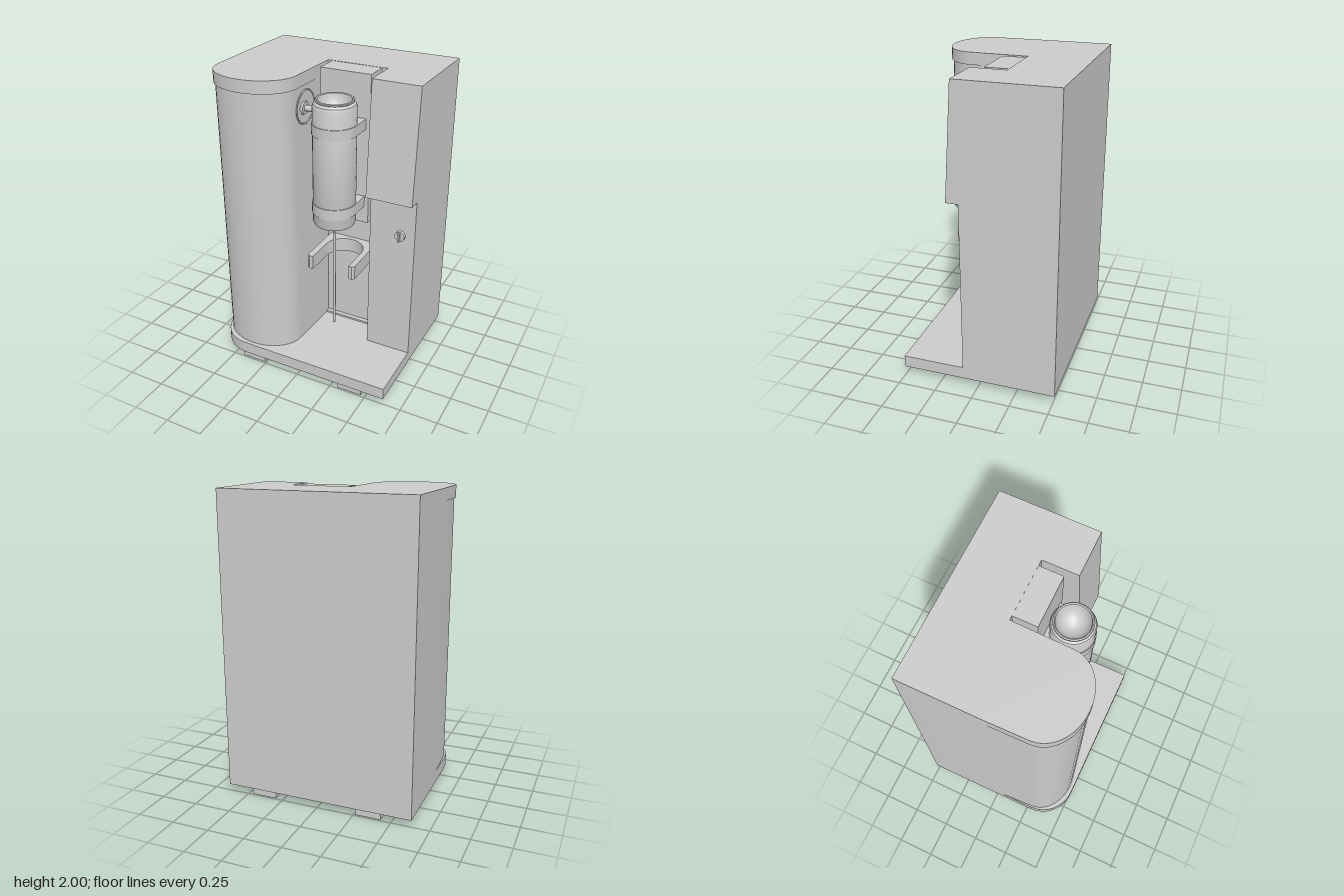
import * as THREE from 'three';
import { toCreasedNormals } from 'three/addons/utils/BufferGeometryUtils.js';

export function createModel() {
  const model = new THREE.Group();
  const mat = new THREE.MeshStandardMaterial({ color: 0xcccccc });
  const matDouble = new THREE.MeshStandardMaterial({ color: 0xcccccc, side: THREE.DoubleSide });

  const add = (name, geometry, x = 0, y = 0, z = 0, material = mat) => {
    const mesh = new THREE.Mesh(geometry, material);
    mesh.name = name;
    mesh.position.set(x, y, z);
    model.add(mesh);
    return mesh;
  };
  // Box given by its extents on each axis
  const box = (name, x0, x1, y0, y1, z0, z1) =>
    add(name, new THREE.BoxGeometry(x1 - x0, y1 - y0, z1 - z0), (x0 + x1) / 2, (y0 + y1) / 2, (z0 + z1) / 2);
  // Floor plan of [x, z] points raised from y0 to y1
  const plan = (name, points, y0, y1) => {
    const shape = new THREE.Shape(points.map(([x, z]) => new THREE.Vector2(x, -z)));
    const g = new THREE.ExtrudeGeometry(shape, { depth: y1 - y0, bevelEnabled: false });
    g.rotateX(-Math.PI / 2);
    return add(name, toCreasedNormals(g, 0.5), 0, y0, 0);
  };
  // Points on an elliptical arc, angle measured from +x towards +z
  const arc = (cx, cz, rx, rz, a0, a1, n = 16) =>
    Array.from({ length: n + 1 }, (_, i) => {
      const a = a0 + ((a1 - a0) * i) / n;
      return [cx + rx * Math.cos(a), cz + rz * Math.sin(a)];
    });
  const PI = Math.PI;

  // Feet and base plate with one rounded front corner
  box('footRail', -0.43, -0.26, 0, 0.05, -0.49, 0.49);
  box('footRail', 0.3, 0.47, 0, 0.05, -0.49, 0.49);
  plan('basePlate', [
    [-0.635, -0.51], [0.635, -0.51], [0.635, 0.51],
    ...arc(-0.4, 0.28, 0.232, 0.23, PI / 2, PI, 8),
  ], 0.05, 0.13);

  // Housing: rounded column, open bay and side block in one plan
  const housing = (inset) => [
    [-0.635, -0.51], [0.635, -0.51], [0.635, 0.1], [0.33, 0.1], [0.33, -0.1], [-0.073, -0.1],
    ...arc(-0.355, 0.28, 0.275 - inset, 0.215 - inset, 0, PI, 18),
    [-0.635, 0],
  ];
  plan('housing', housing(0.01), 0.13, 1.92);
  plan('housingCap', housing(0), 1.92, 2);

  // Raised panel at the back of the bay
  box('bayPanel', -0.045, 0.292, 1.02, 1.998, -0.11, 0.055);
  box('bayFloorStrip', -0.075, 0.33, 0.13, 0.143, -0.1, -0.07);

  // Sloped control panel
  const side = new THREE.Shape();
  side.moveTo(0.09, 1.265);
  side.lineTo(0.18, 1.265);
  side.lineTo(0.13, 2);
  side.lineTo(0.09, 2);
  const control = new THREE.ExtrudeGeometry(side, { depth: 0.305, bevelEnabled: false });
  control.rotateY(-PI / 2);
  add('controlPanel', control, 0.635, 0, 0);

  // Lock with key tab
  add('lock', new THREE.CylinderGeometry(0.033, 0.033, 0.025, 24).rotateX(PI / 2), 0.54, 1.015, 0.11);
  box('lockKey', 0.534, 0.546, 0.987, 1.043, 0.12, 0.143);

  // Canister with an open, bowl-shaped mouth
  const cx = 0.125, cz = 0.195;
  const profile = [
    [0, 1.05], [0.115, 1.05], [0.128, 1.057], [0.135, 1.075], [0.135, 1.825], [0.128, 1.843],
    [0.115, 1.85], [0.112, 1.855], [0.119, 1.86], [0.119, 1.868], [0.112, 1.872], [0.105, 1.868],
    [0.1, 1.835], [0.085, 1.8], [0.06, 1.772], [0.03, 1.755], [0, 1.75],
  ].map(([r, y]) => new THREE.Vector2(r, y));
  add('canister', toCreasedNormals(new THREE.LatheGeometry(profile, 36), 0.7), cx, 0, cz, matDouble);

  // Straps that hold the canister against the bay panel
  for (const [y0, y1] of [[1.135, 1.205], [1.655, 1.722]]) {
    plan('canisterStrap', [[cx - 0.14, 0.05], [cx + 0.14, 0.05], ...arc(cx, cz, 0.14, 0.14, 0, PI, 20)], y0, y1);
  }

  // Dispensing tube below the canister
  add('tube', new THREE.CylinderGeometry(0.01, 0.01, 0.67, 12), cx, 0.615, cz);
  add('tubeNeck', new THREE.CylinderGeometry(0.006, 0.01, 0.03, 12), cx, 0.965, cz);
  add('tubeTop', new THREE.CylinderGeometry(0.006, 0.006, 0.08, 12), cx, 1.015, cz);

  // Feed pipe with fitting and round rim on the column wall
  const alongX = (name, r, x0, x1, sides) =>
    add(name, new THREE.CylinderGeometry(r, r, x1 - x0, sides).rotateZ(PI / 2), (x0 + x1) / 2, 1.78, cz);
  alongX('feedPipe', 0.019, -0.1, 0.01, 16);
  alongX('feedNut', 0.042, -0.1, -0.07, 6);
  add('feedRim', new THREE.TorusGeometry(0.105, 0.005, 8, 32).rotateY(PI / 2), -0.083, 1.78, 0.175);

  // Forked cup holder
  plan('cupHolder', [
    [-0.047, -0.105], [0.292, -0.105], [0.292, 0.235], [0.277, 0.25], [0.255, 0.25],
    ...arc(cx, 0.06, 0.13, 0.13, 0, -PI, 20),
    [-0.005, 0.25], [-0.032, 0.25], [-0.047, 0.235],
  ], 0.695, 0.79);

  return model;
}
